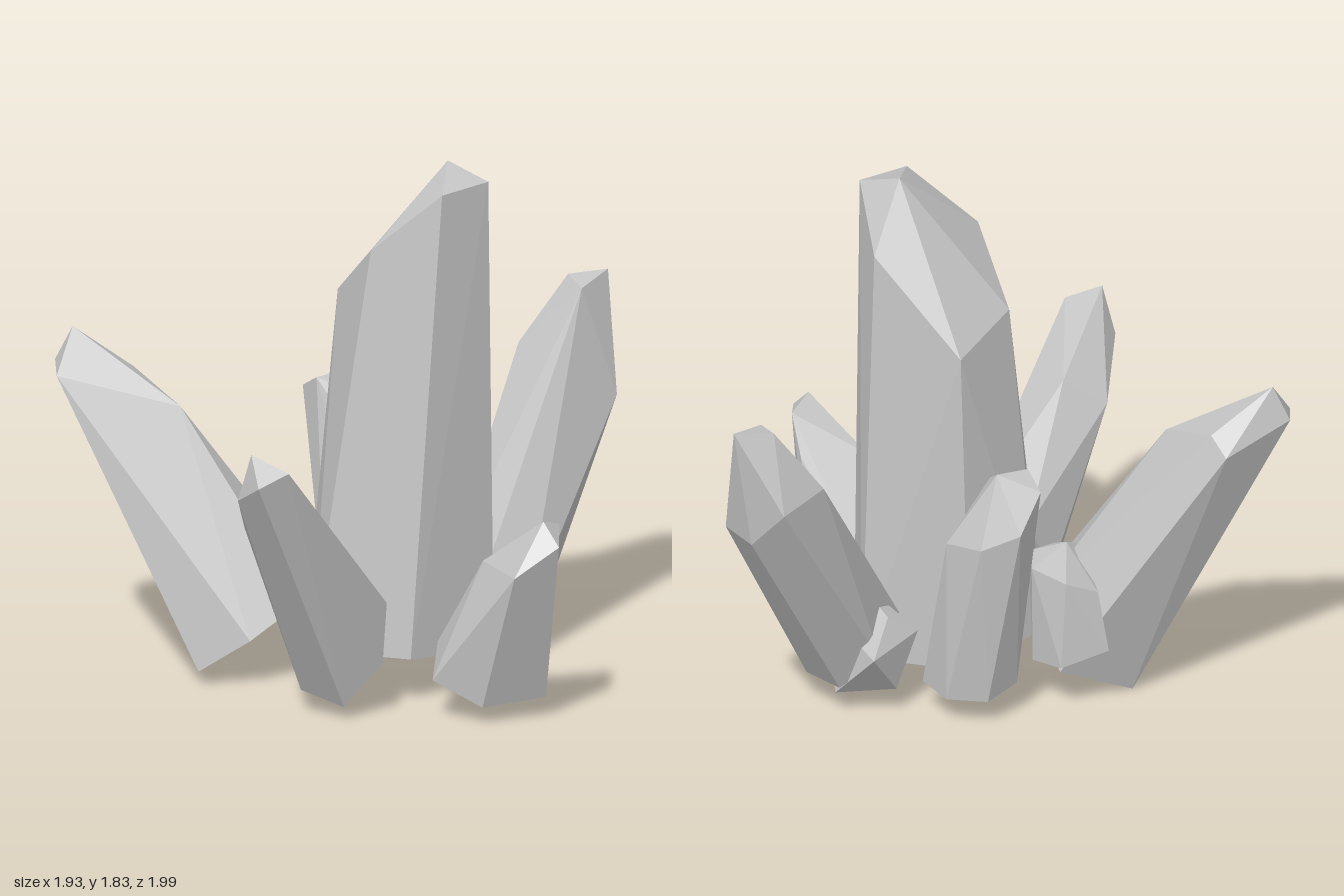
import * as THREE from 'three';
import { ConvexGeometry } from 'three/addons/geometries/ConvexGeometry.js';

const stone = new THREE.MeshStandardMaterial({ color: 0xc4c4c4 });
stone.name = 'pale grey crystal';

// A faceted crystal: the flat-sided solid spanning its base ring, shoulder corners and tip
function crystal(name, base, shoulders, tip) {
  const corners = [...base, ...shoulders, tip].map((p) => new THREE.Vector3(...p));
  const mesh = new THREE.Mesh(new ConvexGeometry(corners), stone);
  mesh.name = name;
  return mesh;
}

export function createModel() {
  const group = new THREE.Group();
  group.name = 'crystalCluster';

  // Tall central crystal with a slanted top
  group.add(crystal('mainCrystal',
    [[0.56, 0.12, -0.06], [0.38, 0.16, 0.29], [0.03, 0.17, 0.33],
      [-0.1, 0.16, 0], [0.05, 0.11, -0.3], [0.44, 0.1, -0.31]],
    [[0.54, 1.78, -0.06], [0.435, 1.77, 0.12], [0.2, 1.57, 0.185],
      [0.01, 1.36, -0.02], [0.09, 1.27, -0.28], [0.42, 1.59, -0.24]],
    [0.38, 1.83, -0.1]));

  // Long crystal leaning out to the side
  group.add(crystal('leaningSideCrystal',
    [[-0.44, 0, -0.02], [-0.38, 0.05, 0.31], [-0.2, 0.17, 0.29],
      [-0.055, 0.29, 0.17], [-0.1, 0.3, -0.1], [-0.25, 0.12, -0.22]],
    [[-0.97, 1.05, 0.1], [-0.92, 1.03, 0.23], [-0.51, 0.93, 0.12],
      [-0.73, 1.01, -0.03], [-0.8, 0.95, -0.07]],
    [-0.91, 1.17, 0.09]));

  // Long crystal leaning backwards
  group.add(crystal('leaningBackCrystal',
    [[0.45, 0.28, -0.24], [0.59, 0.16, -0.31], [0.57, 0.11, -0.5],
      [0.42, 0.11, -0.58], [0.3, 0.2, -0.5], [0.3, 0.3, -0.32]],
    [[0.61, 1.19, -0.84], [0.72, 0.81, -0.89], [0.6, 0.79, -0.96],
      [0.47, 0.93, -0.99], [0.385, 0.98, -0.83], [0.53, 1.21, -0.93]],
    [0.65, 1.22, -1]));

  // Crystal leaning forwards
  group.add(crystal('leaningFrontCrystal',
    [[0.055, 0.08, 0.5], [0.225, 0.045, 0.54], [0.33, 0.185, 0.44],
      [0.29, 0.35, 0.28], [0.05, 0.4, 0.28], [0, 0.2, 0.37]],
    [[0.15, 0.97, 0.905], [0.07, 0.93, 0.99], [-0.03, 0.86, 0.915],
      [-0.08, 0.7, 0.7], [0.05, 0.8, 0.62], [0.2, 0.75, 0.77]],
    [0.02, 1.03, 0.92]));

  // Short thick crystal at the front corner
  group.add(crystal('shortCornerCrystal',
    [[0.45, 0.21, 0.21], [0.51, 0.14, 0.44], [0.69, 0.06, 0.44],
      [0.865, 0.07, 0.28], [0.77, 0.17, 0.09], [0.565, 0.2, 0.085]],
    [[0.96, 0.65, 0.42], [0.91, 0.69, 0.27], [0.85, 0.56, 0.2],
      [0.83, 0.55, 0.51], [0.655, 0.55, 0.33]],
    [0.89, 0.725, 0.38]));

  // Upright crystal behind the main one
  group.add(crystal('uprightBackCrystal',
    [[-0.14, 0.12, -0.35], [-0.08, 0.09, -0.47], [0.06, 0.09, -0.5],
      [0.18, 0.1, -0.41], [0.12, 0.12, -0.2], [-0.1, 0.12, -0.22]],
    [[-0.18, 0.935, -0.35], [-0.25, 0.885, -0.41], [-0.21, 0.75, -0.5],
      [-0.08, 0.69, -0.54], [0.06, 0.68, -0.5], [0.05, 0.65, -0.3], [-0.05, 0.89, -0.37]],
    [-0.105, 0.945, -0.45]));

  // Stubs filling the gaps between the large crystals
  group.add(crystal('sideStub',
    [[-0.28, 0.17, -0.29], [-0.42, 0.22, -0.2], [-0.25, 0.15, -0.05],
      [-0.1, 0.15, 0.02], [-0.15, 0.15, -0.22]],
    [[-0.09, 0.5, -0.1], [-0.15, 0.5, -0.23], [-0.29, 0.48, -0.27],
      [-0.37, 0.42, -0.17], [-0.22, 0.48, 0.06], [-0.13, 0.47, 0.05]],
    [-0.21, 0.53, -0.05]));
  group.add(crystal('backStub',
    [[0.25, 0.09, -0.48], [0.45, 0.07, -0.54], [0.5, 0.1, -0.36], [0.3, 0.1, -0.28]],
    [[0.28, 0.25, -0.62], [0.19, 0.3, -0.43], [0.27, 0.37, -0.51],
      [0.55, 0.34, -0.42], [0.5, 0.25, -0.3]],
    [0.45, 0.43, -0.36]));

  return group;
}
